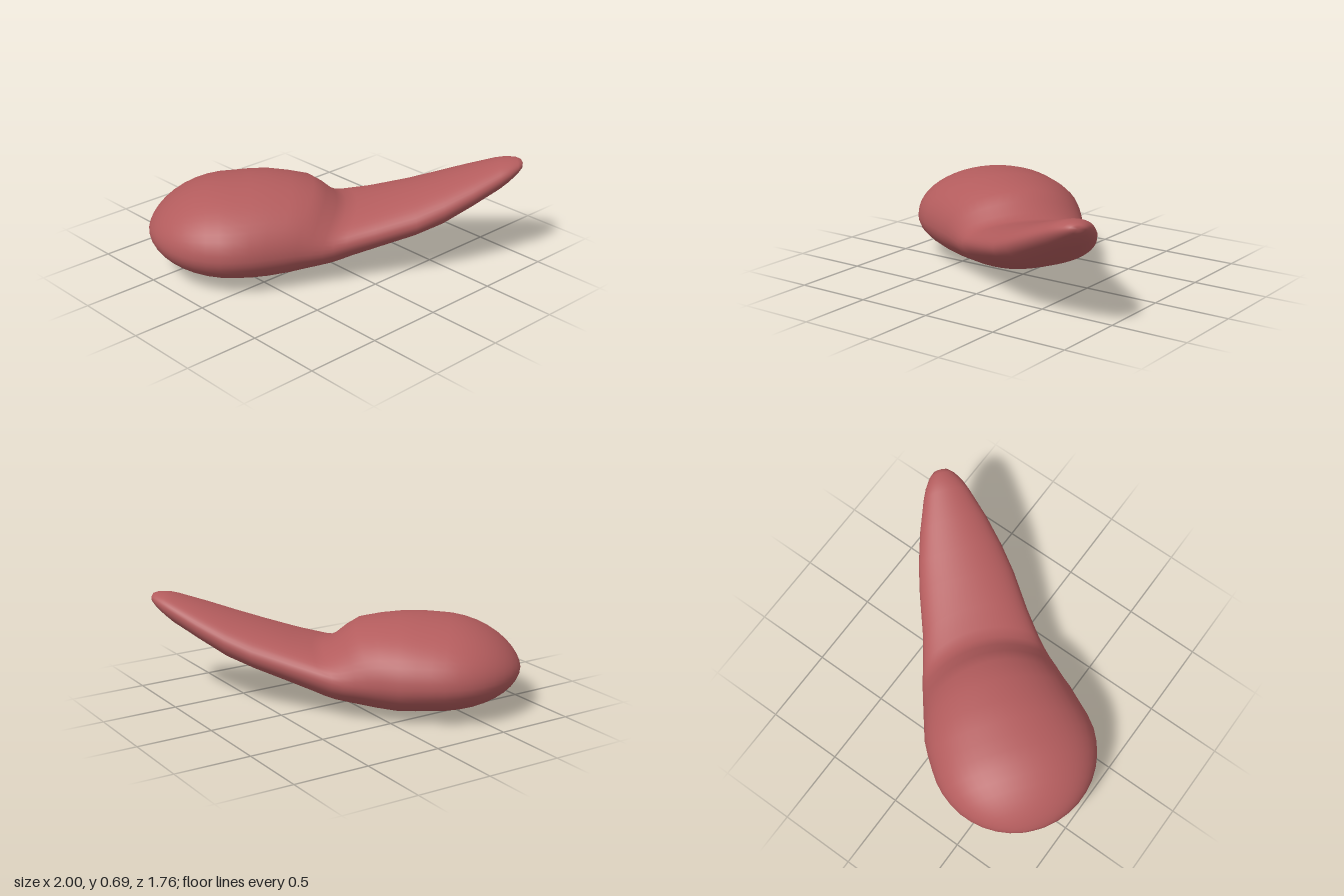
import * as THREE from 'three';
import { mergeVertices } from 'three/addons/utils/BufferGeometryUtils.js';

const coral = new THREE.MeshStandardMaterial({ color: 0xb35c5d });
coral.name = 'dusty coral';

// Cross-sections: distance along the axis, half width, sideways shift,
// top, widest height, bottom, backward bow of the sides
const tailSections = [
  [0, 0.535, 0.008, 0.585, 0.265, 0.008, 0],
  [0.11, 0.53, 0, 0.594, 0.262, 0.002, 0.01],
  [0.23, 0.515, -0.012, 0.595, 0.26, 0, 0.03],
  [0.38, 0.49, -0.015, 0.578, 0.26, 0.015, 0.07],
  [0.52, 0.468, -0.02, 0.552, 0.255, 0.037, 0.13],
  [0.6, 0.45, -0.022, 0.5, 0.25, 0.052, 0.13],
  [0.67, 0.43, -0.025, 0.44, 0.245, 0.066, 0.12],
  [0.73, 0.413, -0.025, 0.412, 0.25, 0.085, 0.11],
  [0.8, 0.393, -0.022, 0.418, 0.265, 0.11, 0.1],
  [0.95, 0.355, -0.012, 0.455, 0.305, 0.16, 0.06],
  [1.15, 0.32, -0.002, 0.512, 0.37, 0.23, 0],
  [1.33, 0.282, 0, 0.564, 0.435, 0.295, 0],
  [1.52, 0.225, 0.002, 0.625, 0.515, 0.4, 0],
  [1.7, 0.155, 0.003, 0.68, 0.595, 0.5, 0],
  [1.76, 0.127, 0.004, 0.692, 0.62, 0.545, 0],
  [1.82, 0.085, 0.004, 0.692, 0.645, 0.595, 0],
  [1.85, 0.05, 0.004, 0.682, 0.655, 0.63, 0],
  [1.862, 0, 0.004, 0.66, 0.66, 0.66, 0],
];

// Round back of the bowl, swept from its rearmost point to the widest ring
function bowlSections(steps) {
  return Array.from({ length: steps }, (_, i) => {
    const a = (i / steps) * Math.PI / 2;
    const w = Math.sin(a);
    return [-0.54 * Math.cos(a), 0.535 * w, 0.008 * w,
      0.27 + 0.315 * w ** 1.3, 0.27 - 0.005 * w, 0.27 - 0.262 * w ** 1.1, 0];
  });
}

// Skin oval rings placed along a level, diagonal axis
function loft(rows, sides) {
  const origin = new THREE.Vector3(-0.46, 0, -0.345);
  const along = new THREE.Vector3(0.773, 0, 0.635);
  const across = new THREE.Vector3(-0.635, 0, 0.773);
  const positions = [];
  const index = [];
  rows.forEach(([s, width, shift, top, mid, bottom, bow], i) => {
    for (let j = 0; j < sides; j++) {
      const a = (j / sides) * Math.PI * 2;
      const side = Math.cos(a);
      const rise = Math.sin(a);
      const p = origin.clone()
        .addScaledVector(along, s - bow * side * side)
        .addScaledVector(across, shift + width * side);
      p.y = mid + rise * (rise > 0 ? top - mid : mid - bottom);
      positions.push(p.x, p.y, p.z);
      if (i === rows.length - 1) continue;
      const a0 = i * sides + j;
      const a1 = i * sides + (j + 1) % sides;
      index.push(a0, a0 + sides, a1, a1, a0 + sides, a1 + sides);
    }
  });
  const geometry = new THREE.BufferGeometry();
  geometry.setAttribute('position', new THREE.Float32BufferAttribute(positions, 3));
  geometry.setIndex(index);
  const merged = mergeVertices(geometry, 1e-5);
  merged.computeVertexNormals();
  return merged;
}

export function createModel() {
  const model = new THREE.Group();
  model.name = 'spoonShapedBody';

  // Domed bowl flowing into a rising, tapered handle
  const body = new THREE.Mesh(loft([...bowlSections(10), ...tailSections], 48), coral);
  body.name = 'domeAndTail';
  model.add(body);
  return model;
}
